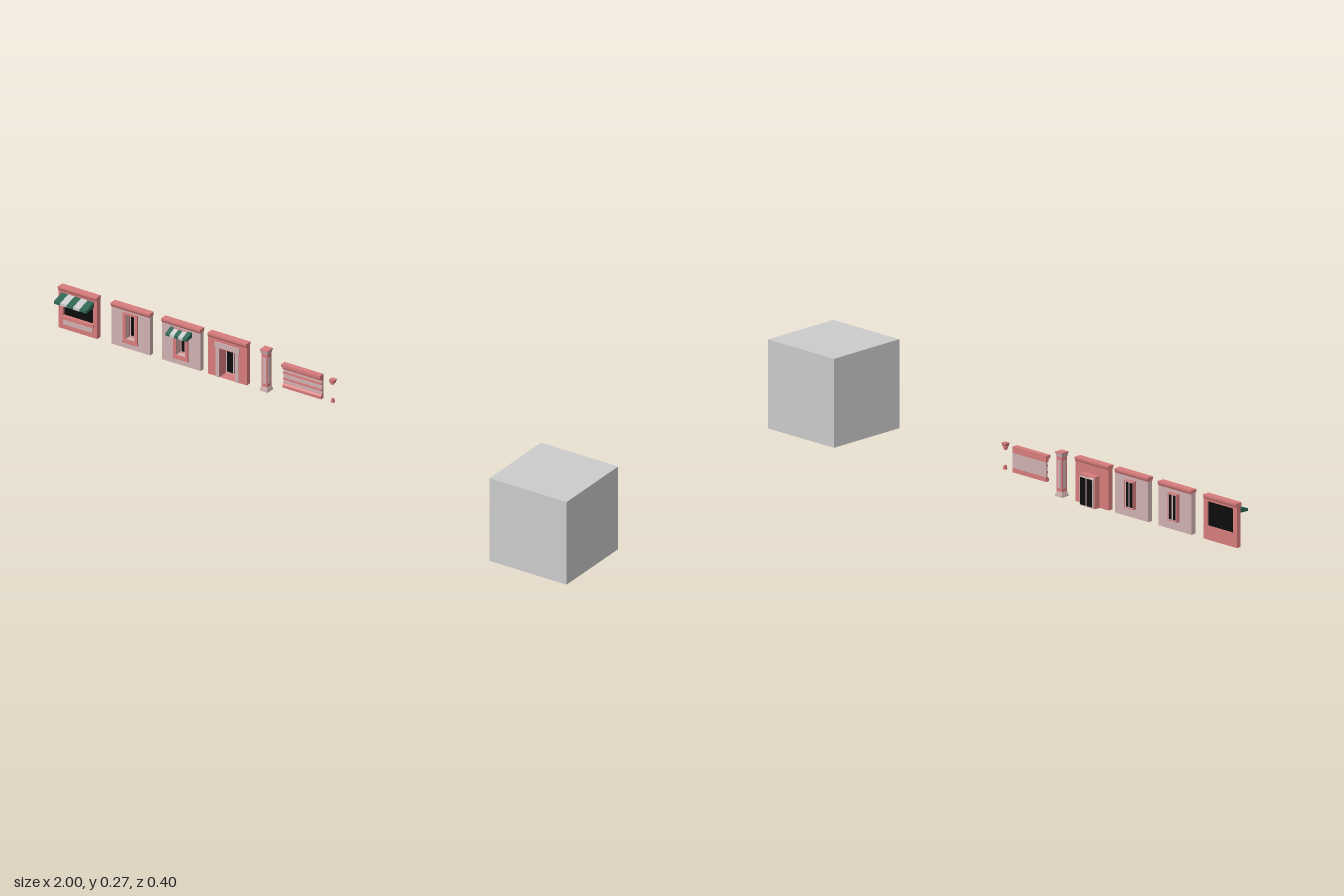
import * as THREE from 'three';

const mat = (color) => new THREE.MeshStandardMaterial({ color, flatShading: true });
const RED = mat(0xd87c7c), PINK = mat(0xcfb0b0), DARK = mat(0x0c0c0c);
const GREEN = mat(0x2f6654), WHITE = mat(0xdddddd), GREY = mat(0xcccccc);
const BOTTOM = 0.1, TOP = 0.234, BACK = -0.176, FACE = -0.16, W = 0.134;

function add(parent, name, geometry, material) {
  const mesh = new THREE.Mesh(geometry, material);
  mesh.name = name;
  parent.add(mesh);
  return mesh;
}

// Box given by its limits on each axis
function box(parent, name, material, x0, x1, y0, y1, z0, z1) {
  const m = add(parent, name, new THREE.BoxGeometry(x1 - x0, y1 - y0, z1 - z0), material);
  m.position.set((x0 + x1) / 2, (y0 + y1) / 2, (z0 + z1) / 2);
  return m;
}

// Profile of [z, y] points swept along x, centred on x
function sweep(parent, name, material, profile, x, width) {
  const shape = new THREE.Shape(profile.map(([z, y]) => new THREE.Vector2(z, y)));
  const g = new THREE.ExtrudeGeometry(shape, { depth: width, bevelEnabled: false });
  g.rotateY(-Math.PI / 2);
  g.translate(x + width / 2, 0, 0);
  return add(parent, name, g, material);
}

// Rectangular panel with a rectangular opening, between two depths
function holed(parent, name, material, outer, inner, z0, z1) {
  const rect = (path, [x0, x1, y0, y1]) =>
    path.moveTo(x0, y0).lineTo(x1, y0).lineTo(x1, y1).lineTo(x0, y1).closePath();
  const shape = rect(new THREE.Shape(), outer);
  shape.holes.push(rect(new THREE.Path(), inner));
  const g = new THREE.ExtrudeGeometry(shape, { depth: z1 - z0, bevelEnabled: false });
  g.translate(0, 0, z0);
  return add(parent, name, g, material);
}

// Wall module with an opening and a stepped cornice
function wall(root, name, x, material, opening) {
  const g = new THREE.Group();
  g.name = name;
  g.position.x = x;
  root.add(g);
  holed(g, 'wall', material, [-W / 2, W / 2, BOTTOM, 0.225], opening, BACK, FACE);
  sweep(g, 'cornice', RED, [[BACK - 0.003, TOP], [BACK - 0.003, 0.228], [BACK, 0.221],
    [FACE, 0.221], [FACE + 0.004, 0.228], [FACE + 0.004, TOP]], 0, W);
  return g;
}

// Sloping awning made of coloured stripes
function awning(parent, width, count, front) {
  const s = width / count;
  for (let i = 0; i < count; i++) {
    sweep(parent, 'awningStripe', i % 2 ? WHITE : GREEN, [[FACE, 0.199], [front, 0.197],
      [front, 0.205], [FACE, 0.216]], (i - (count - 1) / 2) * s, s);
  }
}

// Two dark panes set in a light frame
function panes(parent, half, y0, y1, z0, z1, rim) {
  box(parent, 'paneFrame', PINK, -half, half, y0, y1, z0, z1);
  for (const side of [-1, 1]) {
    const c = side * half / 2, h = half / 2 - rim;
    box(parent, 'pane', DARK, c - h, c + h, y0 + rim, y1 - rim, z0 - 0.0006, z1 + 0.0006);
  }
}

// Narrow window with surround, sill and a reveal running out of the back
function windowWall(root, name, x) {
  const hole = [-0.016, 0.016, 0.13, 0.21];
  const g = wall(root, name, x, PINK, hole);
  holed(g, 'windowSurround', RED, [-0.025, 0.025, 0.124, 0.216], hole, FACE, FACE + 0.004);
  box(g, 'windowSill', RED, -0.027, 0.027, 0.119, 0.125, FACE, FACE + 0.006);
  holed(g, 'windowReveal', RED, [-0.018, 0.018, 0.128, 0.212], hole, -0.188, FACE);
  panes(g, 0.016, 0.13, 0.21, -0.186, -0.181, 0.003);
  return g;
}

export function createModel() {
  const root = new THREE.Group();
  root.name = 'facadeKit';

  // Reference block
  box(root, 'referenceBlock', GREY, 0.733, 1, 0, 0.268, -0.068, 0.199);

  // Shop front with a wide window
  const shop = wall(root, 'shopFront', -0.933, RED, [-0.052, 0.052, 0.142, 0.216]);
  box(shop, 'shopGlass', DARK, -0.052, 0.052, 0.142, 0.216, -0.172, -0.168);
  box(shop, 'shopSill', RED, -0.056, 0.056, 0.137, 0.143, FACE, FACE + 0.005);
  box(shop, 'shopPanel', PINK, -0.05, 0.05, 0.115, 0.13, FACE, FACE + 0.001);
  awning(shop, 0.112, 5, -0.119);

  // Window walls, the second with an awning
  windowWall(root, 'windowWall', -0.75);
  awning(windowWall(root, 'awningWindowWall', -0.575), 0.073, 5, -0.133);

  // Door wall with a deep recess
  const hole = [-0.027, 0.027, BOTTOM + 0.0005, 0.192];
  const door = wall(root, 'doorWall', -0.415, RED, hole);
  holed(door, 'doorReveal', RED, [-0.03, 0.03, BOTTOM, 0.196], hole, -0.195, FACE);
  panes(door, 0.027, 0.102, 0.19, -0.2, -0.193, 0.003);
  for (const s of [-1, 1]) {
    const c = s * 0.034;
    box(door, 'doorPilaster', PINK, c - 0.006, c + 0.006, BOTTOM, 0.196, FACE, FACE + 0.003);
  }
  box(door, 'doorLintel', PINK, -0.042, 0.042, 0.196, 0.212, FACE, FACE + 0.004);

  // Square pillar with flared base and capital
  const pillar = new THREE.Group();
  pillar.name = 'pillar';
  pillar.position.set(-0.286, 0, -0.1685);
  root.add(pillar);
  const tier = (name, material, y0, y1, r0, r1) => {
    const g = new THREE.CylinderGeometry(r1 * Math.SQRT2, r0 * Math.SQRT2, y1 - y0, 4);
    g.rotateY(Math.PI / 4);
    add(pillar, name, g, material).position.y = (y0 + y1) / 2;
  };
  tier('pillarFoot', PINK, BOTTOM, 0.104, 0.0135, 0.0135);
  tier('pillarBase', PINK, 0.104, 0.115, 0.0135, 0.011);
  tier('pillarShaft', RED, 0.115, 0.22, 0.0105, 0.0105);
  tier('pillarCapital', PINK, 0.22, 0.231, 0.011, 0.0135);
  tier('pillarTop', RED, 0.231, TOP, 0.0135, 0.0135);
  for (let i = 0; i < 4; i++) {
    const side = new THREE.Group();
    side.name = 'pillarSide';
    side.rotation.y = i * Math.PI / 2;
    pillar.add(side);
    box(side, 'pillarPanel', PINK, -0.006, 0.006, 0.125, 0.21, 0.0105, 0.0113);
  }

  // Horizontal band with moulded top and bottom
  const upper = [[-0.172, 0.207], [-0.172, 0.188], [-0.162, 0.188], [-0.16, 0.195],
    [-0.154, 0.199], [-0.154, 0.207]];
  const lower = [[-0.172, 0.143], [-0.172, 0.129], [-0.16, 0.129], [-0.16, 0.138], [-0.164, 0.143]];
  const band = new THREE.Group();
  band.name = 'band';
  root.add(band);
  box(band, 'bandPanel', PINK, -0.225, -0.091, 0.143, 0.188, -0.172, -0.165);
  sweep(band, 'bandCornice', RED, upper, -0.158, W);
  sweep(band, 'bandFoot', RED, lower, -0.158, W);
  for (const y of [0.157, 0.177]) {
    box(band, 'bandStrip', RED, -0.225, -0.091, y - 0.003, y + 0.003, -0.167, -0.163);
  }

  // Loose corner ends of the two mouldings
  const corner = (name, x, z, y0, y1, r0, r1) => {
    const g = new THREE.CylinderGeometry(r1 * Math.SQRT2, r0 * Math.SQRT2, y1 - y0, 4);
    g.rotateY(Math.PI / 4);
    add(root, name, g, RED).position.set(x, (y0 + y1) / 2, z);
  };
  corner('cornerCorniceFoot', -0.054, -0.164, 0.188, 0.196, 0.004, 0.005);
  corner('cornerCorniceTop', -0.05, -0.16, 0.196, 0.207, 0.0065, 0.0085);
  corner('cornerFoot', -0.054, -0.1655, 0.129, 0.141, 0.0045, 0.0035);
  return root;
}
